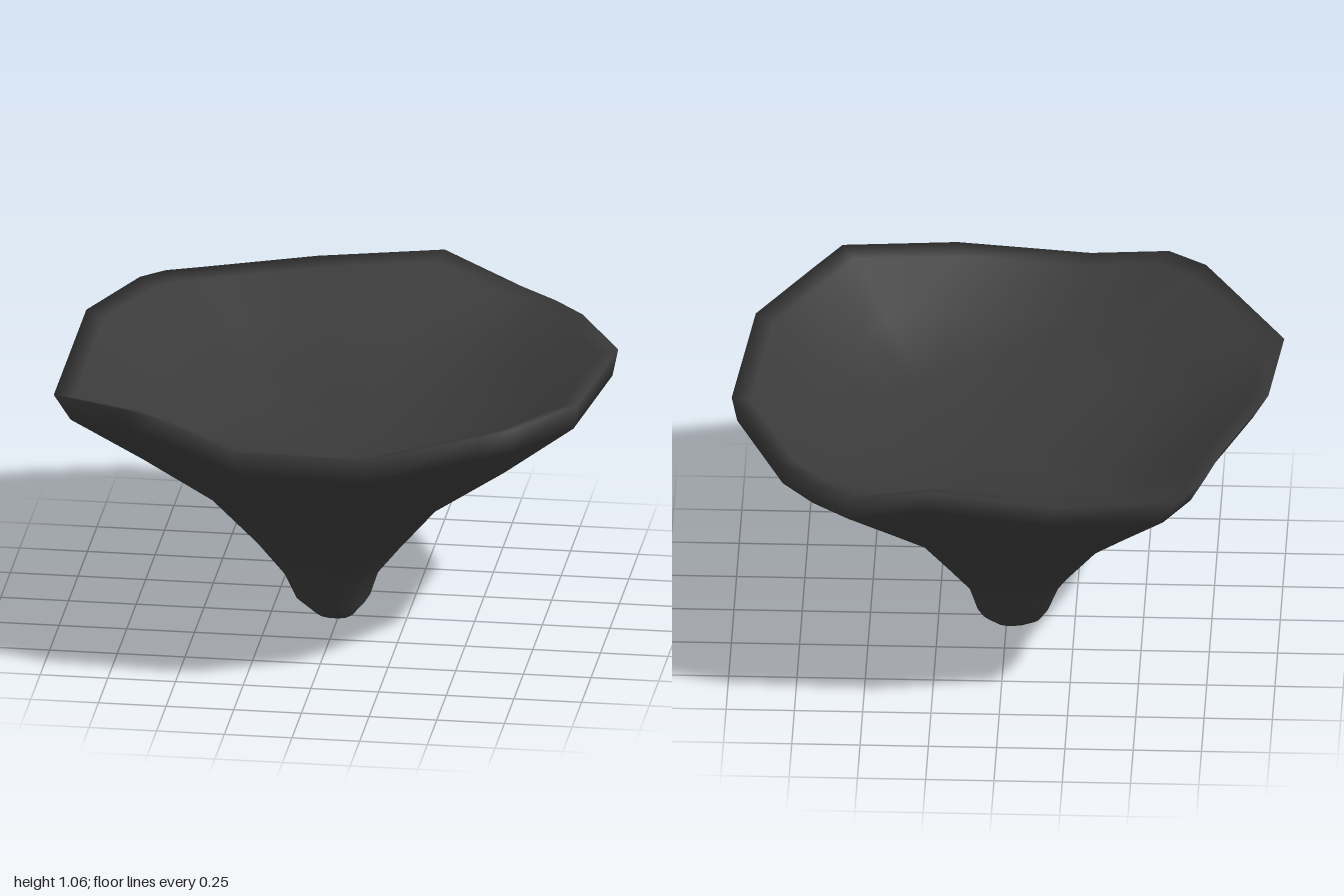
import * as THREE from 'three';
import { mergeVertices } from 'three/addons/utils/BufferGeometryUtils.js';

// Uneven rim outline [x, y, z], running from the front round by +x
const rim = [
  [0.22, 1.0, 1.0], [0.635, 1.06, 0.855], [0.74, 1.04, 0.71], [0.935, 1.025, 0.39],
  [1.0, 1.01, -0.22], [0.81, 0.975, -0.64], [0.69, 0.97, -0.78], [0.55, 0.97, -0.9],
  [0.25, 1.06, -1.0], [-0.22, 1.01, -1.0], [-0.65, 0.98, -0.9], [-0.75, 1.01, -0.78],
  [-0.82, 1.05, -0.6], [-0.965, 1.06, -0.22], [-1.0, 0.96, 0.39], [-0.7, 1.06, 0.755],
  [-0.56, 1.06, 0.855], [-0.27, 0.99, 0.955],
];

// Cross-sections from foot to rim to dish:
// [scale, height, how far the height follows the rim, offset x, offset z]
const rings = [
  [0, 0, 0, -0.015, -0.015], [0.068, 0.003, 0, -0.015, -0.02], [0.13, 0.06, 0, -0.025, -0.04],
  [0.168, 0.16, 0, -0.03, -0.038], [0.268, 0.29, 0, -0.025, -0.04],
  [0.425, 0.475, 0, -0.025, -0.035], [0.69, 0.685, 0.3, 0, -0.018],
  [0.96, 0.91, 1, 0.02, 0], [1, 1.01, 1, 0, 0],
  [0.93, 0.99, 0.95, 0, 0], [0.72, 0.86, 0.4, 0, 0], [0.47, 0.775, 0.1, 0, 0],
  [0.22, 0.74, 0, 0, 0], [0, 0.73, 0, 0, 0],
];

// Lofted skin through all the cross-sections
function loftGeometry() {
  const n = rim.length;
  const last = rings.length - 1;
  const positions = [];
  const index = [];
  rings.forEach(([s, y, follow, dx, dz], i) => {
    for (const [x, ry, z] of rim) {
      positions.push(x * s + dx, y + (ry - 1.01) * follow, z * s + dz);
    }
    if (i === last) return;
    for (let j = 0; j < n; j++) {
      const a = i * n + j;
      const b = i * n + ((j + 1) % n);
      // single triangles at the two poles, quads between
      if (i > 0) index.push(a, b, b + n);
      if (i < last - 1) index.push(a, b + n, a + n);
    }
  });
  const geometry = new THREE.BufferGeometry();
  geometry.setAttribute('position', new THREE.Float32BufferAttribute(positions, 3));
  geometry.setIndex(index);
  const welded = mergeVertices(geometry, 1e-4);
  welded.computeVertexNormals();
  return welded;
}

export function createModel() {
  const group = new THREE.Group();
  group.name = 'funnelCap';
  const material = new THREE.MeshStandardMaterial({ color: 0x3a3a3a });
  const body = new THREE.Mesh(loftGeometry(), material);
  body.name = 'flaredBody';
  group.add(body);
  return group;
}
